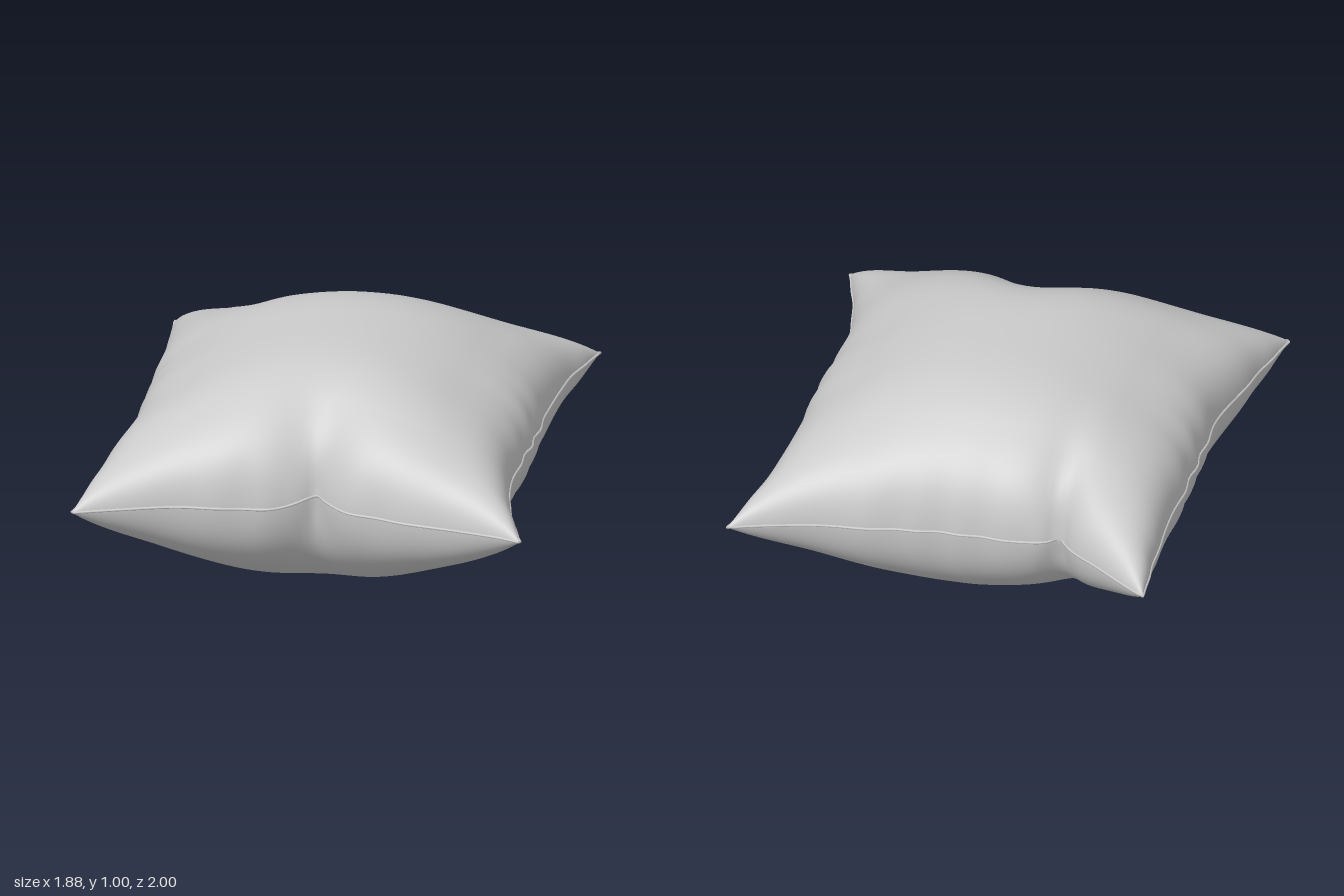
import * as THREE from 'three';

const N = 80; // grid cells along each side of the cloth

// Seam outline in plan, as [x, z] pairs
const edge = (pts) => new THREE.SplineCurve(pts.map(([x, z]) => new THREE.Vector2(x, z)));
const back = edge([[-0.86, -1], [-0.56, -0.83], [-0.27, -0.76], [0.03, -0.77], [0.33, -0.81], [0.62, -0.86], [0.92, -0.97]]);
const front = edge([[-0.94, 0.99], [-0.63, 0.9], [-0.3, 0.85], [0, 0.82], [0.3, 0.85], [0.62, 0.9], [0.93, 0.98]]);
const left = edge([[-0.86, -1], [-0.83, -0.66], [-0.82, -0.33], [-0.815, 0], [-0.815, 0.33], [-0.87, 0.66], [-0.94, 0.99]]);
const right = edge([[0.92, -0.97], [0.83, -0.64], [0.81, -0.32], [0.805, 0], [0.79, 0.33], [0.83, 0.66], [0.93, 0.98]]);

// Plan position inside the outline, blended from the four edges
function plan(s, t) {
  const b = back.getPoint(s), f = front.getPoint(s), l = left.getPoint(t), r = right.getPoint(t);
  const mix = (k) => {
    const corners = (1 - s) * (1 - t) * back.points[0][k] + s * (1 - t) * back.points[6][k]
      + (1 - s) * t * front.points[0][k] + s * t * front.points[6][k];
    return (1 - t) * b[k] + t * f[k] + (1 - s) * l[k] + s * r[k] - corners;
  };
  return [mix('x'), mix('y')];
}

const bell = (d, w) => Math.exp(-((d / w) ** 2));
// Pointed at the seam, rounding off with the distance in from it
const pinch = (d, w, inward) => Math.exp((inward * 0.6 - Math.hypot(d, inward * 0.6)) / w);

// One point of the cloth; side is +1 above the seam, -1 below it
function cloth(u, v, side) {
  let [x, z] = plan((u + 1) / 2, (v + 1) / 2);
  const toFront = (1 - v) * 0.8, toBack = (1 + v) * 0.8;
  const x0 = x, dFront = x0 - 0.03, dBack = x0 + 0.42;

  // pinched notches in the front and back seams
  z -= 0.12 * pinch(dFront, 0.08, toFront) * Math.exp(-toFront / 0.2);
  z += 0.12 * pinch(dBack, 0.07, toBack) * Math.exp(-toBack / 0.2);

  // puffed height, pressed in beside the notches
  const fill = (1 - u * u) ** 0.57 * (1 - Math.abs(v) ** 3.4) ** 0.68;
  const dent = 1 - 0.25 * bell(dFront, 0.19) * Math.exp(-toFront / 0.17)
    - 0.25 * bell(dBack, 0.09) * Math.exp(-toBack / 0.16);
  let h = 0.5 * fill * dent;

  // soft gathers running in from the seams
  const rimX = u ** 6 * (1 - u * u) * 4, rimZ = v ** 6 * (1 - v * v) * 4;
  h += 0.008 * rimX * Math.sin(z * 13 + side + u * 2) * (1 - v * v);
  h += 0.008 * rimZ * Math.sin(x0 * 11 + side * 2 + v * 3) * (1 - u * u);

  // small waviness of the seam itself
  x += 0.006 * u ** 8 * Math.sin(z * 23 + 2 * Math.sin(z * 7) + u) * (1 - v * v);
  z += 0.004 * v ** 8 * Math.sin(x0 * 27 + 2 * Math.sin(x0 * 5) + v) * (1 - u * u);
  const seamY = 0.5 + (1 - fill) * (0.004 * Math.sin(x0 * 9 + z * 7)
    + 0.03 * bell(dFront, 0.09) * Math.exp(-toFront / 0.12));
  return new THREE.Vector3(x, seamY + side * h, z);
}

// Grid lines crowd towards the seam where the cloth turns steeply
const spread = (i) => Math.sin(Math.PI * (i / N - 0.5));

function panel(side) {
  const positions = [], index = [];
  for (let j = 0; j <= N; j++)
    for (let i = 0; i <= N; i++) positions.push(...cloth(spread(i), spread(j), side).toArray());
  for (let j = 0; j < N; j++)
    for (let i = 0; i < N; i++) {
      const a = j * (N + 1) + i, b = a + 1, c = a + N + 1, d = c + 1;
      if (side > 0) index.push(a, c, b, b, c, d);
      else index.push(a, b, c, b, d, c);
    }
  const g = new THREE.BufferGeometry();
  g.setAttribute('position', new THREE.Float32BufferAttribute(positions, 3));
  g.setIndex(index);
  g.computeVertexNormals();
  return g;
}

// Thin stitched seam following the rim
function seam() {
  const rim = [];
  for (let k = 0; k < 4; k++)
    for (let i = 0; i < 48; i++) {
      const w = i / 24 - 1;
      const [u, v] = [[w, -1], [1, w], [-w, 1], [-1, -w]][k];
      rim.push(cloth(u, v, 1));
    }
  const path = new THREE.CatmullRomCurve3(rim, true, 'centripetal');
  return new THREE.TubeGeometry(path, 360, 0.006, 6, true);
}

export function createModel() {
  const group = new THREE.Group();
  group.name = 'cushion';
  const material = new THREE.MeshStandardMaterial({ color: 0xcccccc, side: THREE.DoubleSide });
  const add = (name, geometry) => {
    const mesh = new THREE.Mesh(geometry, material);
    mesh.name = name;
    group.add(mesh);
  };
  add('topPanel', panel(1));
  add('bottomPanel', panel(-1));
  add('seam', seam());
  return group;
}
